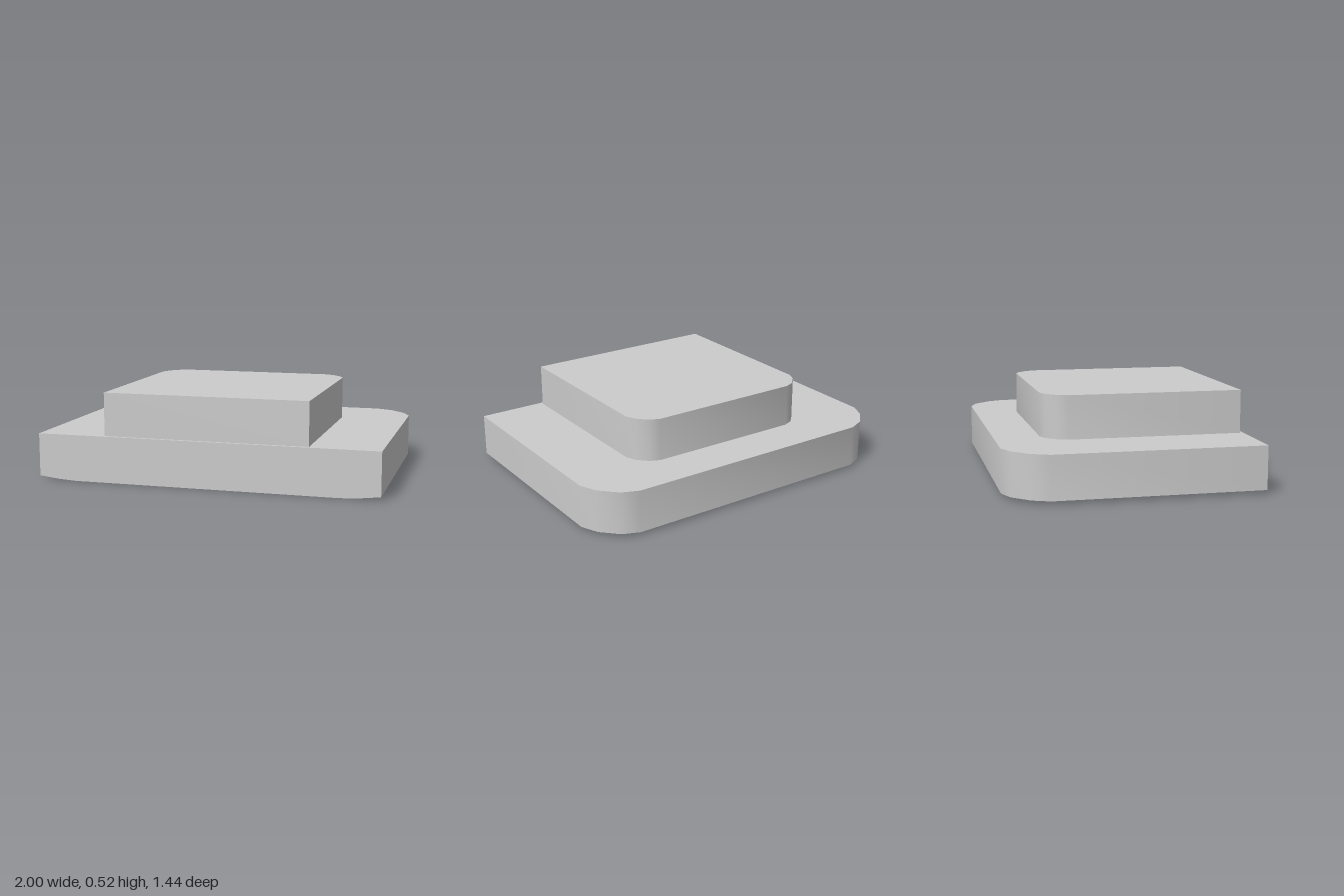
import * as THREE from 'three';
import { toCreasedNormals } from 'three/addons/utils/BufferGeometryUtils.js';

const material = new THREE.MeshStandardMaterial({ color: 0xcccccc });

// Outline with a straight front edge and two rounded back corners.
// k shrinks the corner radius (1 = full size), moving the sides and back inward.
function outline({ halfWidth, front, back, radius }, k) {
  const cx = halfWidth - radius, cz = back + radius;
  const arc = [[1, 0], [0.81, 0.43], [0.42, 0.83], [0, 1]];
  const half = arc.map(([u, v]) => [cx + u * radius * k, cz - v * radius * k]);
  half.unshift([cx + radius * k, front]);
  return [...half, ...half.map(([x, z]) => [-x, z]).reverse()];
}

// Loft from the top level down through [k, y] levels, capped at both ends.
function slab(name, plan, levels) {
  const rings = levels.map(([k, y]) => outline(plan, k).map(([x, z]) => [x, y, z]));
  const n = rings[0].length, index = [];
  for (let i = 0; i < rings.length - 1; i++) {
    for (let j = 0; j < n; j++) {
      const a = i * n + j, b = i * n + (j + 1) % n;
      index.push(a, a + n, b + n, a, b + n, b);
    }
  }
  const last = (rings.length - 1) * n;
  for (let j = 1; j < n - 1; j++) {
    index.push(0, j, j + 1, last, last + j + 1, last + j);
  }
  const geometry = new THREE.BufferGeometry();
  geometry.setAttribute('position', new THREE.Float32BufferAttribute(rings.flat(2), 3));
  geometry.setIndex(index);
  const mesh = new THREE.Mesh(toCreasedNormals(geometry, 0.6), material);
  mesh.name = name;
  return mesh;
}

export function createModel() {
  const group = new THREE.Group();
  group.name = 'steppedPlatform';

  // Wide base, its underside curving up slightly towards the sides and back
  group.add(slab('base',
    { halfWidth: 1, front: 0.72, back: -0.72, radius: 0.235 },
    [[1, 0.27], [1, 0.02], [0.5, 0.006], [0.04, 0]]));

  // Smaller raised step, set just behind the front edge
  group.add(slab('upperStep',
    { halfWidth: 0.598, front: 0.7, back: -0.455, radius: 0.14 },
    [[1, 0.522], [1, 0.27]]));

  return group;
}
